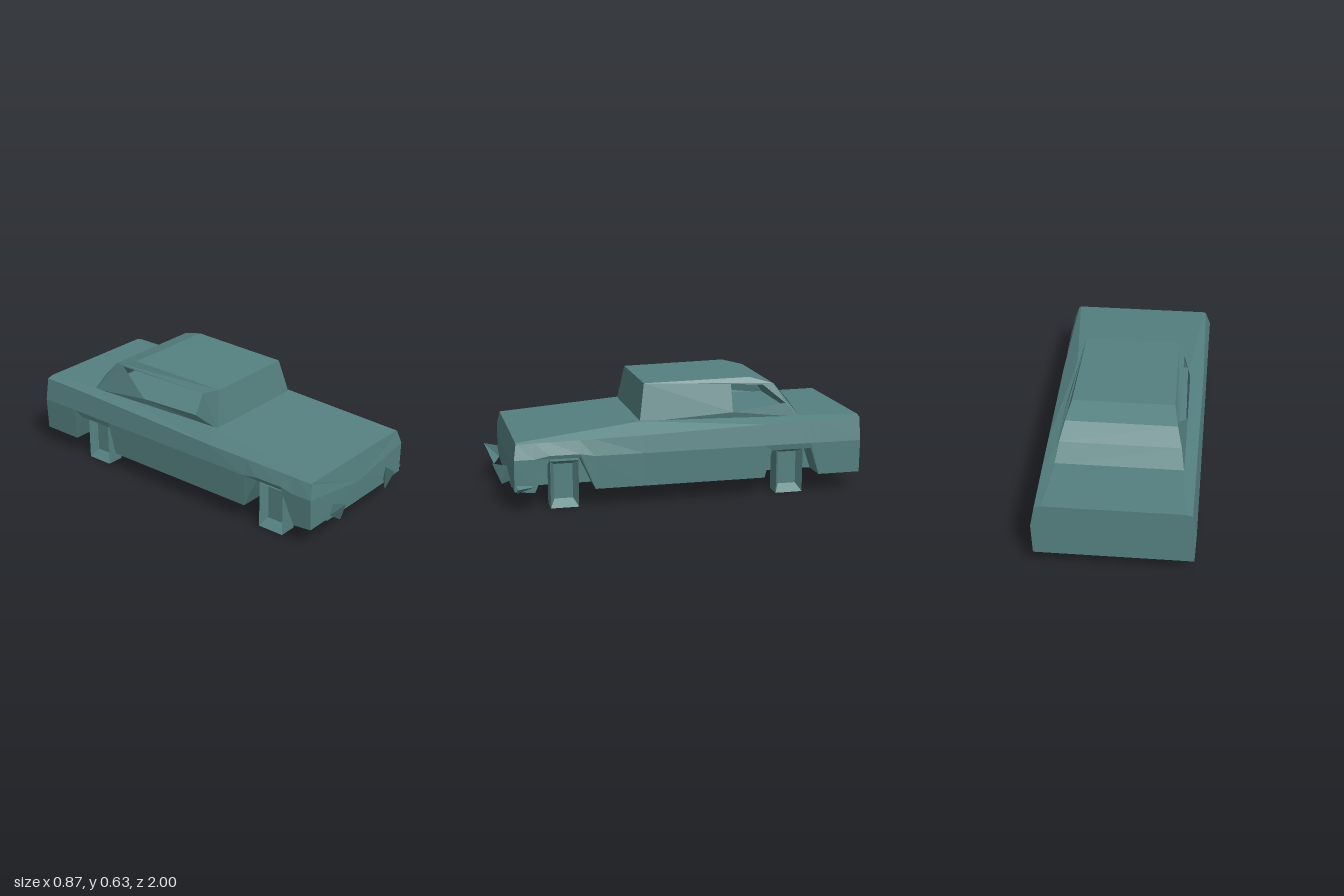
import * as THREE from 'three';

const paint = new THREE.MeshStandardMaterial({ color: 0x558080, flatShading: true, side: THREE.DoubleSide });
const SHIFT = -0.008; // the bodywork sits slightly to one side

// triangles (arrays of three points) to a mesh
function meshFrom(name, triangles) {
  const g = new THREE.BufferGeometry();
  g.setAttribute('position', new THREE.Float32BufferAttribute(triangles.flat(2), 3));
  g.computeVertexNormals();
  const m = new THREE.Mesh(g, paint);
  m.name = name;
  return m;
}
const quad = (a, b, c, d) => [[a, b, c], [a, c, d]];

// linear interpolation through [z, value] pairs
function along(z, pairs) {
  for (let i = 0; i < pairs.length - 1; i++) {
    const [z0, v0] = pairs[i], [z1, v1] = pairs[i + 1];
    if (z <= z1) return v0 + (v1 - v0) * Math.max(0, (z - z0) / (z1 - z0));
  }
  return pairs[pairs.length - 1][1];
}

// body: cross-sections from tail to nose, with the lower edge lifted at the arches
function createBody() {
  const stations = [[-0.995, 0.1], [-0.76, 0.1], [-0.71, 0.25], [-0.67, 0.25], [-0.49, 0.25], [-0.45, 0.1],
    [0.22, 0.1], [0.48, 0.1], [0.56, 0.275], [0.72, 0.275], [0.8, 0.1], [0.893, 0.11]];
  const rings = stations.map(([z, low]) => {
    const shoulderY = along(z, [[-0.995, 0.405], [-0.67, 0.4], [0.22, 0.372], [0.893, 0.358]]);
    const shoulderX = along(z, [[-0.995, 0.395], [0.22, 0.402], [0.893, 0.39]]);
    const topY = along(z, [[-0.995, 0.415], [-0.67, 0.418], [0.22, 0.43], [0.893, 0.365]]);
    const topX = along(z, [[-0.995, 0.36], [-0.67, 0.33], [0.22, 0.32], [0.893, 0.38]]);
    const half = [[0.27, 0.1], [0.27, low], [0.412, low], [0.418, Math.max(0.28, low + 0.02)],
      [shoulderX, shoulderY], [topX, topY]];
    const ring = [...half, ...half.map(([x, y]) => [-x, y]).reverse()];
    return ring.map(([x, y]) => [x + SHIFT, y, z + (z > 0.85 && y < 0.3 ? 0.014 : 0)]);
  });
  const tris = [], n = rings[0].length;
  for (let k = 0; k < rings.length - 1; k++) {
    for (let i = 0; i < n; i++) {
      const j = (i + 1) % n;
      tris.push(...quad(rings[k][i], rings[k][j], rings[k + 1][j], rings[k + 1][i]));
    }
  }
  const tail = rings[0], nose = rings[rings.length - 1];
  for (let i = 0; i < n; i++) {
    const j = (i + 1) % n;
    tris.push([[SHIFT, 0.24, -0.995], tail[j], tail[i]], [[SHIFT, 0.22, 0.911], nose[i], nose[j]]);
  }
  return meshFrom('body', tris);
}

// cabin: windscreen, roof and rear screen as one strip, plus two leaning side panels
function createCabin() {
  const cabin = new THREE.Group();
  cabin.name = 'cabin';
  const outline = [[0.22, 0.42], [0.185, 0.622], [-0.4, 0.632], [-0.53, 0.595], [-0.6, 0.51], [-0.67, 0.41]];
  const halfWidth = (z, y) => {
    const lean = along(y, [[0.4, 0.335], [0.45, 0.335], [0.6, 0.29], [0.635, 0.268]]);
    return lean - along(z, [[-0.4, 0], [0.1, 0], [0.22, 0.025]]);
  };
  const strip = [];
  for (let i = 0; i < outline.length - 1; i++) {
    const [z0, y0] = outline[i], [z1, y1] = outline[i + 1];
    const w0 = halfWidth(z0, y0), w1 = halfWidth(z1, y1);
    strip.push(...quad([-w0 + SHIFT, y0, z0], [w0 + SHIFT, y0, z0], [w1 + SHIFT, y1, z1], [-w1 + SHIFT, y1, z1]));
  }
  cabin.add(meshFrom('roofAndScreens', strip));

  const openings = {
    leftSide: [[-0.29, 0.455], [-0.29, 0.602], [-0.47, 0.59], [-0.59, 0.49]],
    rightSide: [[0.08, 0.47], [0.1, 0.59], [-0.48, 0.588], [-0.29, 0.457]],
  };
  for (const [name, opening] of Object.entries(openings)) {
    const sign = name === 'leftSide' ? 1 : -1;
    // drawn with -z to the right, so the shape faces +x once turned
    const points = (list) => list.map(([z, y]) => new THREE.Vector2(-z, y));
    const shape = new THREE.Shape(points(outline));
    shape.holes.push(new THREE.Path(points(opening)));
    const g = new THREE.ShapeGeometry(shape);
    const p = g.attributes.position;
    for (let i = 0; i < p.count; i++) {
      const z = -p.getX(i), y = p.getY(i);
      p.setXYZ(i, sign * halfWidth(z, y) + SHIFT, y, z);
    }
    if (sign < 0) g.index.array.reverse();
    g.computeVertexNormals();
    const side = new THREE.Mesh(g, paint);
    side.name = name;
    cabin.add(side);
  }
  return cabin;
}

// wheel: a block with a tapered recess in its outer face
function createWheel(name, x, z, top, sign) {
  const rect = (px, hz, y0, y1) => [[px, y0, z + hz], [px, y0, z - hz], [px, y1, z - hz], [px, y1, z + hz]];
  const outer = rect(x + sign * 0.05, 0.075, 0, top);
  const inner = rect(x - sign * 0.05, 0.075, 0, top);
  const hub = rect(x + sign * 0.005, 0.05, 0.04, top - 0.025);
  const tris = [...quad(...hub), ...quad(...[...inner].reverse())];
  for (let i = 0; i < 4; i++) {
    const j = (i + 1) % 4;
    tris.push(...quad(outer[i], outer[j], hub[j], hub[i]), ...quad(inner[i], inner[j], outer[j], outer[i]));
  }
  if (sign < 0) tris.forEach((t) => t.reverse());
  return meshFrom(name, tris);
}

export function createModel() {
  const model = new THREE.Group();
  model.name = 'pickupCar';
  model.add(createBody(), createCabin());

  for (const [side, x, sign] of [['Left', 0.325, 1], ['Right', -0.35, -1]]) {
    model.add(createWheel('front' + side + 'Wheel', x, 0.64, 0.255, sign));
    model.add(createWheel('rear' + side + 'Wheel', x, -0.6, 0.245, sign));
  }

  // pointed bumper guards
  model.add(meshFrom('leftBumperGuard', [
    ...quad([0.195, 0.1, 0.95], [0.24, 0.13, 0.91], [0.233, 0.21, 0.925], [0.203, 0.218, 1.0]),
  ]));
  model.add(meshFrom('rightBumperGuard', [
    [[-0.265, 0.13, 0.915], [-0.22, 0.1, 0.95], [-0.25, 0.218, 1.0]],
    [[-0.265, 0.13, 0.915], [-0.25, 0.218, 1.0], [-0.255, 0.2, 0.925]],
  ]));

  // loose trim at the lower front corner
  const tip = [0.44, 0.13, 0.895], back = [0.415, 0.135, 0.8];
  model.add(meshFrom('cornerTrim', [
    [[0.38, 0.155, 0.895], tip, back],
    [tip, [0.4, 0.1, 0.895], back],
    [[0.38, 0.155, 0.895], [0.4, 0.1, 0.895], tip],
  ]));
  return model;
}
